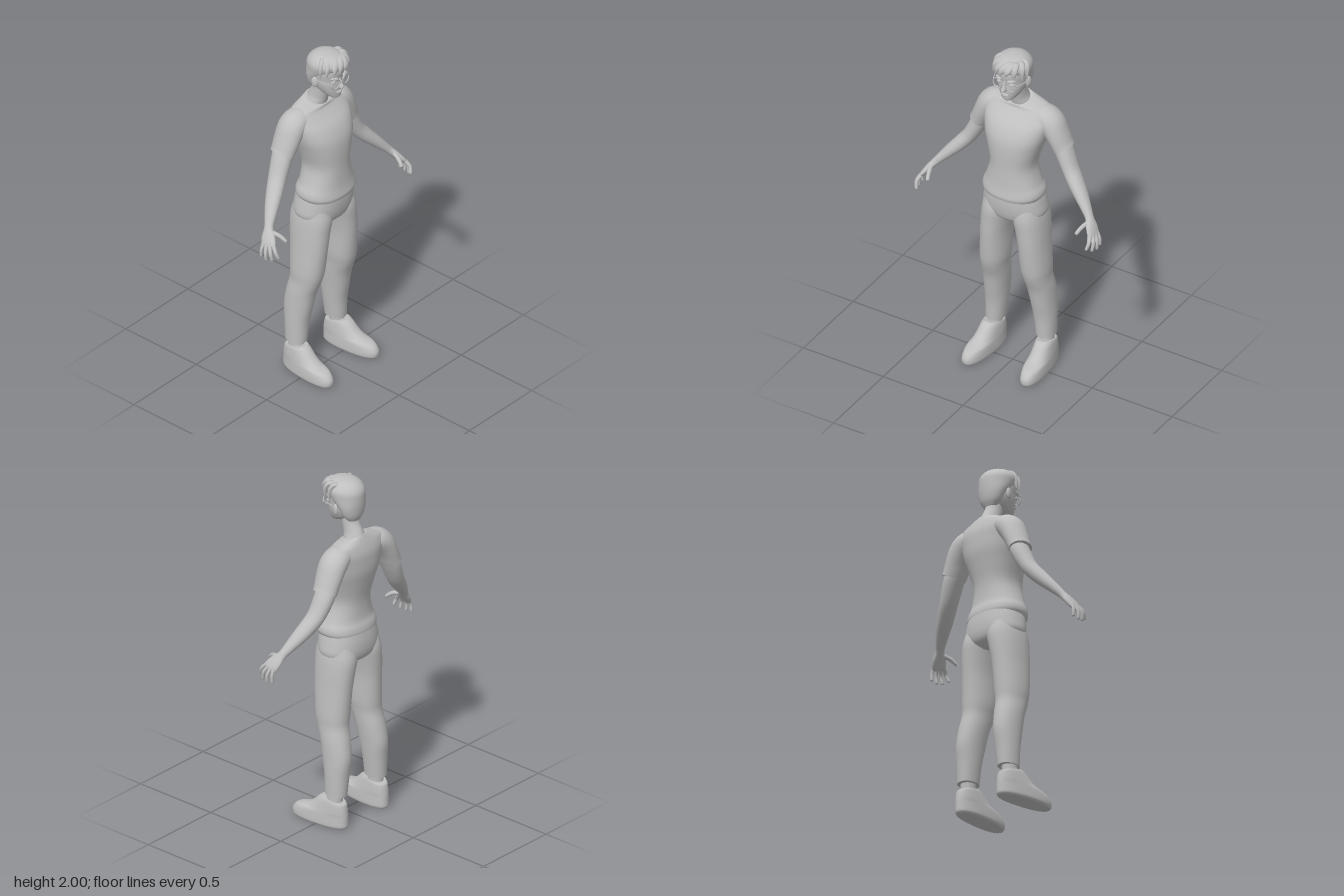
import * as THREE from 'three';

const grey = new THREE.MeshStandardMaterial({ color: 0xbfbfbf });
grey.name = 'plain grey';

const Z = new THREE.Vector3(0, 0, 1), X = new THREE.Vector3(1, 0, 0), UP = new THREE.Vector3(0, 1, 0);

// Smooth skin through stations [x, y, z, half width, half depth, tilt]; s = -1 mirrors it.
// level keeps every ring horizontal (stations then run upwards); p < 1 squares the rings.
function loft(stations, { s = 1, n = 24, sub = 4, p = 1, level = false, ref = Z } = {}) {
  const centre = new THREE.CatmullRomCurve3(stations.map(k => new THREE.Vector3(k[0] * s, k[1], k[2])), false, 'catmullrom');
  const size = new THREE.CatmullRomCurve3(stations.map(k => new THREE.Vector3(k[3], k[4], k[5] || 0)), false, 'catmullrom');
  const rows = (stations.length - 1) * sub, pos = [], idx = [];
  const soft = v => Math.sign(v) * Math.abs(v) ** p;
  for (let j = 0; j <= rows; j++) {
    const c = centre.getPoint(j / rows), r = size.getPoint(j / rows);
    const t = level ? UP : centre.getTangent(j / rows);
    const side = new THREE.Vector3().crossVectors(t, ref).normalize();
    const front = new THREE.Vector3().crossVectors(side, t).normalize();
    for (let i = 0; i < n; i++) {
      const a = i / n * Math.PI * 2, w = soft(Math.cos(a)) * Math.max(r.x, 0.001), d = soft(Math.sin(a)) * Math.max(r.y, 0.001);
      const v = c.clone().addScaledVector(side, w).addScaledVector(front, d);
      pos.push(v.x, v.y - r.z * d, v.z);
    }
  }
  for (let j = 0; j < rows; j++) for (let i = 0; i < n; i++) {
    const a = j * n + i, b = j * n + (i + 1) % n;
    idx.push(a, a + n, b, b, a + n, b + n);
  }
  // crisp end caps
  for (const [row, flip] of [[0, false], [rows, true]]) {
    const base = pos.length / 3, mid = [0, 0, 0];
    for (let i = 0; i < n; i++) for (let k = 0; k < 3; k++) {
      const v = pos[(row * n + i) * 3 + k];
      pos.push(v);
      mid[k] += v / n;
    }
    pos.push(...mid);
    for (let i = 0; i < n; i++) {
      const a = base + i, b = base + (i + 1) % n;
      idx.push(base + n, flip ? b : a, flip ? a : b);
    }
  }
  const g = new THREE.BufferGeometry();
  g.setAttribute('position', new THREE.Float32BufferAttribute(pos, 3));
  g.setIndex(idx);
  g.computeVertexNormals();
  return g;
}

export function createModel() {
  const model = new THREE.Group();
  model.name = 'standing man';
  const add = (name, geometry, parent = model) => {
    const m = new THREE.Mesh(geometry, grey);
    m.name = name;
    parent.add(m);
    return m;
  };
  const blob = (name, x, y, z, a, b, c, parent) => {
    const m = add(name, new THREE.SphereGeometry(1, 16, 12), parent);
    m.position.set(x, y, z);
    m.scale.set(a, b, c);
    return m;
  };

  // Shirt body, hem to collar
  add('shirt', loft([
    [0, 1.105, -0.022, 0.166, 0.132], [0, 1.125, -0.022, 0.176, 0.136], [0, 1.155, -0.022, 0.173, 0.131],
    [0, 1.2, -0.018, 0.153, 0.122], [0, 1.3, -0.02, 0.129, 0.12], [0, 1.4, -0.03, 0.152, 0.13],
    [0, 1.48, -0.043, 0.178, 0.134], [0, 1.55, -0.06, 0.194, 0.12], [0, 1.6, -0.08, 0.203, 0.097],
    [0, 1.64, -0.089, 0.19, 0.075, 0.05], [0, 1.66, -0.085, 0.135, 0.068, 0.15], [0, 1.675, -0.08, 0.068, 0.062, 0.3],
  ], { n: 40, p: 0.88, level: true }));

  // Trousers: seat, then the two legs
  add('trouserSeat', loft([
    [0, 0.935, -0.035, 0.07, 0.07], [0, 0.96, -0.037, 0.14, 0.11], [0, 1.0, -0.037, 0.182, 0.126],
    [0, 1.06, -0.034, 0.178, 0.131], [0, 1.125, -0.03, 0.165, 0.127],
  ], { n: 40, p: 0.88, level: true }));

  for (const s of [1, -1]) {
    const side = s > 0 ? 'left' : 'right';
    const o = extra => ({ s, ...extra });

    add(side + 'TrouserLeg', loft([
      [0.158, 0.185, -0.09, 0.052, 0.063], [0.152, 0.3, -0.09, 0.06, 0.071], [0.146, 0.4, -0.085, 0.065, 0.085],
      [0.139, 0.5, -0.068, 0.07, 0.088], [0.132, 0.58, -0.045, 0.071, 0.094], [0.127, 0.65, -0.038, 0.077, 0.103],
      [0.118, 0.8, -0.035, 0.077, 0.115], [0.107, 0.9, -0.037, 0.083, 0.122], [0.095, 0.98, -0.037, 0.088, 0.125],
      [0.09, 1.05, -0.035, 0.08, 0.11],
    ], o({ level: true, p: 0.92 })));
    add(side + 'Ankle', loft([
      [0.165, 0.1, -0.085, 0.04, 0.048], [0.163, 0.15, -0.085, 0.04, 0.046], [0.16, 0.23, -0.088, 0.041, 0.045],
    ], o({ level: true })));

    // Shoe, turned slightly outwards
    const shoe = add(side + 'Shoe', loft([
      [0, 0, 0.008, 0.053, 0.17], [0, 0.012, 0.008, 0.06, 0.177], [0, 0.04, 0.007, 0.06, 0.176],
      [0, 0.07, -0.006, 0.058, 0.162], [0, 0.088, -0.035, 0.056, 0.131], [0, 0.115, -0.055, 0.053, 0.107],
      [0, 0.145, -0.072, 0.049, 0.084, -0.1], [0, 0.158, -0.08, 0.045, 0.066, -0.2],
    ], { n: 32, level: true, p: 0.85 }));
    shoe.position.x = s * 0.172;
    shoe.rotation.y = s * 0.08;

    // Sleeve and arm down to the knuckles
    add(side + 'Sleeve', loft([
      [0.11, 1.6, -0.092, 0.055, 0.066], [0.15, 1.595, -0.093, 0.066, 0.076], [0.19, 1.565, -0.095, 0.069, 0.08],
      [0.225, 1.505, -0.097, 0.06, 0.078], [0.248, 1.455, -0.099, 0.056, 0.073], [0.262, 1.428, -0.1, 0.055, 0.071],
    ], o()));
    add(side + 'Arm', loft([
      [0.225, 1.48, -0.1, 0.045, 0.055], [0.262, 1.41, -0.1, 0.047, 0.06], [0.312, 1.312, -0.087, 0.042, 0.053],
      [0.36, 1.25, -0.065, 0.04, 0.048], [0.41, 1.195, -0.04, 0.034, 0.041], [0.455, 1.145, -0.015, 0.026, 0.031],
      [0.485, 1.11, 0.003, 0.021, 0.026], [0.51, 1.078, 0.022, 0.019, 0.04], [0.532, 1.045, 0.042, 0.015, 0.045],
      [0.54, 1.03, 0.048, 0.008, 0.038],
    ], o({ p: 0.95 })));

    // Fingers: knuckle, joint, tip
    const fingers = [
      ['Thumb', [0.495, 1.1, 0.025], [0.478, 1.085, 0.075], [0.466, 1.06, 0.108], 0.012],
      ['IndexFinger', [0.53, 1.05, 0.076], [0.54, 1.02, 0.1], [0.532, 0.985, 0.113], 0.0105],
      ['MiddleFinger', [0.535, 1.045, 0.055], [0.553, 1.01, 0.075], [0.55, 0.968, 0.083], 0.0105],
      ['RingFinger', [0.538, 1.045, 0.034], [0.558, 1.005, 0.045], [0.558, 0.963, 0.048], 0.01],
      ['LittleFinger', [0.538, 1.05, 0.014], [0.556, 1.01, 0.014], [0.557, 0.97, 0.012], 0.009],
    ];
    for (const [name, a, b, c, r] of fingers) {
      const end = c.map((v, k) => v + (c[k] - b[k]) * 0.1);
      add(side + name, loft([[...a, r, r * 1.2], [...b, r, r], [...c, r * 0.8, r * 0.8], [...end, 0.002, 0.002]],
        o({ n: 10, ref: X })));
    }
  }

  // Neck and head
  const head = new THREE.Group();
  head.name = 'head';
  model.add(head);
  add('neck', loft([
    [0, 1.63, -0.085, 0.062, 0.055], [0, 1.67, -0.08, 0.056, 0.06], [0, 1.7, -0.072, 0.047, 0.06],
    [0, 1.75, -0.052, 0.044, 0.053], [0, 1.81, -0.04, 0.045, 0.05],
  ], { level: true }), head);
  add('face', loft([
    [0, 1.733, 0.048, 0.016, 0.016], [0, 1.742, 0.04, 0.03, 0.033], [0, 1.758, 0.02, 0.047, 0.056],
    [0, 1.785, 0.002, 0.064, 0.077], [0, 1.82, -0.01, 0.077, 0.09], [0, 1.855, -0.015, 0.082, 0.093],
    [0, 1.9, -0.013, 0.086, 0.098], [0, 1.95, -0.01, 0.075, 0.085], [0, 1.985, -0.01, 0.035, 0.04],
  ], { n: 32, level: true, p: 0.93 }), head);
  add('nose', loft([
    [0, 1.868, 0.074, 0.006, 0.008], [0, 1.84, 0.083, 0.008, 0.012], [0, 1.815, 0.09, 0.014, 0.018],
    [0, 1.804, 0.082, 0.01, 0.012],
  ].reverse(), { n: 12, level: true }), head);
  blob('upperLip', 0, 1.783, 0.077, 0.024, 0.005, 0.009, head);
  blob('lowerLip', 0, 1.774, 0.075, 0.02, 0.006, 0.009, head);

  // Eyes, brows, ears, spectacles
  for (const s of [1, -1]) {
    const side = s > 0 ? 'left' : 'right';
    blob(side + 'Eye', s * 0.038, 1.848, 0.067, 0.016, 0.01, 0.012, head);
    blob(side + 'Brow', s * 0.04, 1.878, 0.076, 0.024, 0.005, 0.008, head).rotation.set(0, s * 0.4, s * 0.08);
    blob(side + 'Ear', s * 0.087, 1.837, -0.022, 0.011, 0.033, 0.02, head).rotation.y = -s * 0.3;
    const rim = add(side + 'SpectacleRim', new THREE.TorusGeometry(0.029, 0.0035, 8, 28), head);
    rim.position.set(s * 0.041, 1.846, 0.086);
    rim.rotation.y = s * 0.15;
    add(side + 'SpectacleArm', new THREE.TubeGeometry(new THREE.CatmullRomCurve3([
      new THREE.Vector3(s * 0.07, 1.853, 0.081), new THREE.Vector3(s * 0.086, 1.855, 0.04), new THREE.Vector3(s * 0.09, 1.855, -0.025),
    ]), 12, 0.003, 6), head);
  }
  add('spectacleBridge', new THREE.TubeGeometry(new THREE.CatmullRomCurve3([
    new THREE.Vector3(-0.013, 1.852, 0.09), new THREE.Vector3(0, 1.856, 0.095), new THREE.Vector3(0.013, 1.852, 0.09),
  ]), 8, 0.003, 6), head);

  // Hair: cap plus swept fringe locks
  add('hairCap', loft([
    [0, 1.768, -0.078, 0.042, 0.026], [0, 1.8, -0.07, 0.068, 0.048], [0, 1.85, -0.06, 0.086, 0.066],
    [0, 1.9, -0.03, 0.096, 0.098], [0, 1.94, -0.015, 0.099, 0.109], [0, 1.97, -0.01, 0.083, 0.092],
    [0, 1.99, -0.008, 0.052, 0.058], [0, 1.997, -0.008, 0.015, 0.018],
  ], { n: 32, level: true }), head);
  const locks = [ // root x, z, then tip x, y, z
    [0.03, 0.02, -0.055, 1.9, 0.088], [0.04, 0.03, -0.02, 1.905, 0.1], [0.045, 0.03, 0.02, 1.915, 0.103],
    [0.05, 0.03, 0.06, 1.9, 0.085], [0.06, 0.01, 0.092, 1.885, 0.05], [0.0, 0.01, -0.085, 1.895, 0.06],
    [-0.03, 0.0, -0.096, 1.88, 0.025], [0.06, -0.02, 0.1, 1.88, 0.012],
  ];
  locks.forEach(([x, z, tx, ty, tz], i) => add('hairLock' + (i + 1), loft([
    [x, 1.972, z, 0.01, 0.014], [x * 0.65 + tx * 0.35, 1.972, z * 0.5 + tz * 0.5, 0.015, 0.022],
    [x * 0.2 + tx * 0.8, 1.945, z * 0.1 + tz * 0.9, 0.013, 0.02], [tx, ty, tz, 0.002, 0.003],
  ], { n: 12, ref: X }), head));

  return model;
}
